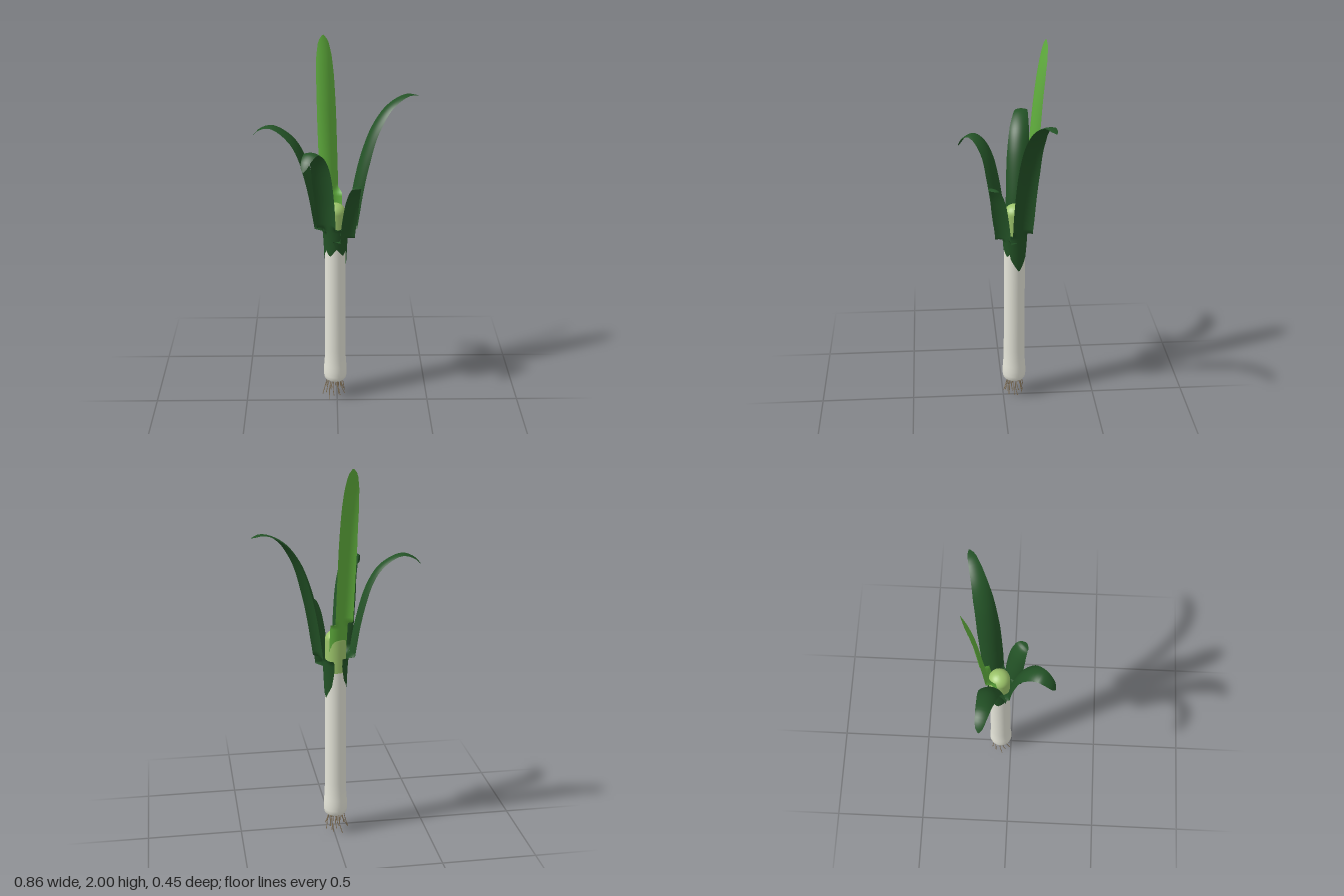
import * as THREE from 'three';

const mat = (name, color, side = THREE.FrontSide) => {
  const m = new THREE.MeshStandardMaterial({ color, side });
  m.name = name;
  return m;
};

// Piecewise linear lookup in [t, value] pairs
function lookup(pairs, t) {
  for (let i = 1; i < pairs.length; i++) {
    const [t0, v0] = pairs[i - 1], [t1, v1] = pairs[i];
    if (t <= t1) return v0 + (v1 - v0) * (t - t0) / (t1 - t0);
  }
  return pairs[pairs.length - 1][1];
}

// Half widths along a leaf: pointed foot, long blade, rounded tip
const ARCHING = [[0, 0.004], [0.06, 0.045], [0.14, 0.064], [0.3, 0.07], [0.55, 0.068],
  [0.75, 0.054], [0.9, 0.033], [0.97, 0.02], [0.99, 0.012], [1, 0.003]];
const BLUNT = [[0, 0.004], [0.1, 0.045], [0.2, 0.064], [0.5, 0.066], [0.75, 0.056],
  [0.9, 0.042], [0.96, 0.033], [0.99, 0.02], [1, 0.005]];
const UPRIGHT = [[0, 0.06], [0.6, 0.058], [0.8, 0.052], [0.9, 0.043], [0.96, 0.03],
  [0.985, 0.019], [1, 0.004]];

// Cupped blade swept along a spine of [radius, height] points in direction (dx, dz)
function leafGeometry(dx, dz, spine, widths) {
  const out = new THREE.Vector3(dx, 0, dz).normalize();
  const up = new THREE.Vector3(0, 1, 0);
  const side = new THREE.Vector3().crossVectors(up, out);
  const curve = new THREE.CatmullRomCurve3(
    spine.map(([r, y]) => out.clone().multiplyScalar(r).addScaledVector(up, y)));
  const rows = 48, cols = 12, pos = [], index = [];
  for (let i = 0; i <= rows; i++) {
    const t = i / rows;
    const p = curve.getPointAt(t);
    const inward = new THREE.Vector3().crossVectors(side, curve.getTangentAt(t)).normalize();
    if (inward.dot(out) > 0 && t < 0.2) inward.negate();
    const half = lookup(widths, t), cup = 0.06 + 0.03 * t;
    for (let j = 0; j <= cols; j++) {
      const a = (j / cols * 2 - 1) * half / cup;
      const v = p.clone().addScaledVector(side, cup * Math.sin(a))
        .addScaledVector(inward, cup * (1 - Math.cos(a)));
      pos.push(v.x, v.y, v.z);
      if (i < rows && j < cols) {
        const k = i * (cols + 1) + j, n = k + cols + 1;
        index.push(k, k + 1, n, k + 1, n + 1, n);
      }
    }
  }
  const g = new THREE.BufferGeometry();
  g.setAttribute('position', new THREE.Float32BufferAttribute(pos, 3));
  g.setIndex(index);
  g.computeVertexNormals();
  return g;
}

export function createModel() {
  const white = mat('stalkWhite', 0xe6e6da);
  const pale = mat('paleGreen', 0x9cc46a);
  const fresh = mat('freshGreen', 0x5fad3c, THREE.DoubleSide);
  const dark = mat('darkGreen', 0x235226, THREE.DoubleSide);
  const tan = mat('rootTan', 0xb8a684);
  const brown = mat('rootBrown', 0x85745a);

  const model = new THREE.Group();
  model.name = 'leek';
  const plant = new THREE.Group();
  plant.name = 'plant';
  plant.position.set(-0.01, 0, -0.06);
  model.add(plant);
  const add = (name, geometry, material) => {
    const m = new THREE.Mesh(geometry, material);
    m.name = name;
    plant.add(m);
    return m;
  };
  const lathe = pts => new THREE.LatheGeometry(pts.map(p => new THREE.Vector2(...p)), 40);

  // Stalk: root plate, white shaft with a swollen foot, pale domed top
  add('rootPlate', lathe([[0, 0.104], [0.03, 0.105], [0.052, 0.11]]), tan);
  add('whiteStalk', lathe([[0.052, 0.11], [0.06, 0.12], [0.063, 0.14], [0.063, 0.17],
    [0.061, 0.2], [0.058, 0.24], [0.057, 0.3], [0.056, 0.6], [0.055, 0.93]]), white);
  const dome = [[0.055, 0.93], [0.055, 1.1]];
  for (let i = 1; i <= 8; i++) {
    const a = i / 8 * Math.PI / 2;
    dome.push([Math.max(0, 0.055 * Math.cos(a)), 1.1 + 0.05 * Math.sin(a)]);
  }
  add('paleTop', lathe(dome), pale);

  // Leaves
  add('longLeftLeaf', leafGeometry(0.435, -0.16, [[0.057, 0.79], [0.07, 1.0], [0.1, 1.2],
    [0.15, 1.4], [0.215, 1.55], [0.3, 1.65], [0.4, 1.695], [0.462, 1.683]], ARCHING), dark);
  add('longRightLeaf', leafGeometry(-0.42, -0.073, [[0.057, 0.83], [0.067, 1.0], [0.098, 1.2],
    [0.158, 1.4], [0.225, 1.5], [0.33, 1.555], [0.395, 1.535], [0.428, 1.5]], ARCHING), dark);
  add('frontLeaf', leafGeometry(-0.16, 0.28, [[0.057, 0.87], [0.063, 1.0], [0.086, 1.2],
    [0.14, 1.4], [0.195, 1.475], [0.25, 1.497], [0.3, 1.465], [0.325, 1.42]], ARCHING), dark);
  add('shortLeaf', leafGeometry(0.128, 0.13, [[0.057, 0.87], [0.066, 1.0], [0.09, 1.13],
    [0.12, 1.23], [0.155, 1.283], [0.187, 1.28]], BLUNT), dark);
  add('uprightLeaf', leafGeometry(-0.06, -0.155, [[0.045, 1.0], [0.055, 1.12], [0.08, 1.4],
    [0.11, 1.7], [0.135, 1.86], [0.167, 2.0]], UPRIGHT), fresh);

  // Roots: thin curved hairs fanned out below the plate
  const roots = 18;
  for (let i = 0; i < roots; i++) {
    const a = i * 2.4, r0 = 0.008 + 0.036 * Math.sqrt(i / roots);
    const r1 = r0 + 0.012 + 0.016 * ((i * 7) % 5) / 4;
    const end = 0.001 + 0.055 * ((i * 5) % 7) / 6;
    const at = (r, y, b) => new THREE.Vector3(r * Math.cos(b), y, r * Math.sin(b));
    const path = new THREE.CatmullRomCurve3([at(r0, 0.112, a),
      at(r0 * 0.6 + r1 * 0.4, 0.06 + end * 0.4, a + 0.1), at(r1, end, a - 0.1)]);
    add('root', new THREE.TubeGeometry(path, 6, 0.0022, 5), brown);
  }
  return model;
}
